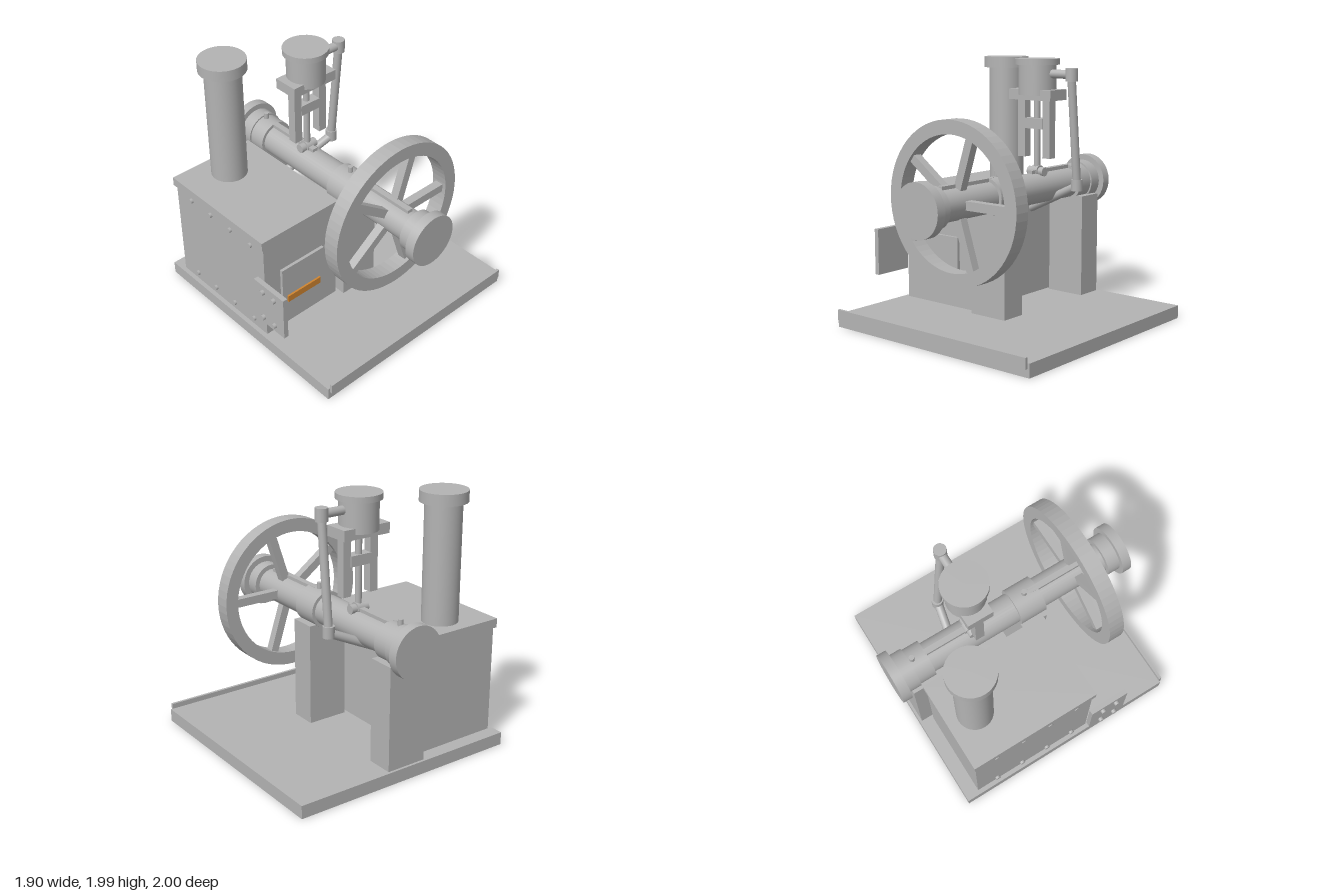
import * as THREE from 'three';

export function createModel() {
  const model = new THREE.Group();
  model.name = 'stationaryEngine';
  const iron = new THREE.MeshStandardMaterial({ color: 0xb3b3b3 });
  iron.name = 'iron grey';
  const ember = new THREE.MeshStandardMaterial({ color: 0xd08530 });
  ember.name = 'ember orange';

  const CX = 0.026; // engine centre line
  const EZ = -0.32; // steam cylinder depth

  const add = (name, geo, mat = iron, parent = model) => {
    const m = new THREE.Mesh(geo, mat);
    m.name = name;
    parent.add(m);
    return m;
  };
  // Box given by its min and max on each axis
  const box = (name, x0, x1, y0, y1, z0, z1, mat) =>
    add(name, new THREE.BoxGeometry(x1 - x0, y1 - y0, z1 - z0), mat)
      .position.set((x0 + x1) / 2, (y0 + y1) / 2, (z0 + z1) / 2);
  // Cylinder between two points
  const rod = (name, a, b, r, sides = 32) => {
    const p = new THREE.Vector3(...a), q = new THREE.Vector3(...b);
    const d = q.clone().sub(p);
    const m = add(name, new THREE.CylinderGeometry(r, r, d.length(), sides));
    m.position.copy(p).add(q).multiplyScalar(0.5);
    m.quaternion.setFromUnitVectors(new THREE.Vector3(0, 1, 0), d.normalize());
    return m;
  };

  // Base and front rail
  box('basePlate', -0.89, 0.945, 0, 0.1, -0.92, 0.917);
  box('frontRail', -0.872, 0.927, 0.06, 0.14, 0.915, 0.937);

  // Firebox with lid, door and glowing grate
  box('firebox', -0.855, -0.165, 0.1, 0.93, -0.81, 0.205);
  box('fireboxLid', -0.875, -0.15, 0.93, 1.0, -0.825, 0.218);
  box('fireDoor', -0.71, -0.305, 0.32, 0.65, 0.2, 0.229);
  box('grateGlow', -0.67, -0.352, 0.335, 0.39, 0.229, 0.244, ember);
  for (const y of [0.165, 0.882])
    for (const z of [-0.63, -0.4, -0.17, 0.06])
      rod('fireboxRivet', [-0.85, y, z], [-0.874, y, z], 0.02, 12);

  // Open side door with rivets
  box('sideDoor', -0.928, -0.89, 0.32, 0.68, 0.175, 0.495);
  for (const y of [0.38, 0.62])
    for (const z of [0.275, 0.395])
      rod('sideDoorRivet', [-0.925, y, z], [-0.953, y, z], 0.021, 12);

  // Smokestack
  rod('smokestack', [-0.512, 1, -0.6], [-0.512, 1.9, -0.6], 0.138);
  rod('smokestackCap', [-0.512, 1.9, -0.6], [-0.512, 1.985, -0.6], 0.178);

  // Pillars, bearings and oil caps
  for (const [z0, z1, oil] of [[0.06, 0.265, 0.16], [-0.9, -0.69, -0.8]]) {
    box('pillar', CX - 0.16, CX + 0.162, 0.1, 0.9, z0, z1);
    rod('bearing', [CX, 1, oil > 0 ? 0.055 : -0.83], [CX, 1, oil > 0 ? 0.272 : -0.69], 0.144);
    rod('oilCap', [CX, 1.1, oil], [CX, 1.19, oil], 0.02, 12);
  }

  // Main shaft, keys and stepped ends
  rod('mainShaft', [CX, 1, -0.95], [CX, 1, 0.95], 0.119);
  box('frontKey', CX - 0.023, CX + 0.023, 1.08, 1.143, 0.2, 0.77);
  box('rearKey', CX - 0.023, CX + 0.023, 1.08, 1.143, -0.7, -0.23);
  for (const s of [-1, 1]) {
    rod('shaftCollar', [CX, 1, s * 0.825], [CX, 1, s * 0.93], 0.156);
    rod('endFlange', [CX, 1, s * 0.925], [CX, 1, s], 0.2, 48);
  }

  // Flywheel: rim with hole and five spokes
  const wheel = new THREE.Group();
  wheel.name = 'flywheel';
  wheel.position.set(CX, 1, 0.597);
  model.add(wheel);
  const ring = new THREE.Shape().absarc(0, 0, 0.598, 0, Math.PI * 2, false);
  ring.holes.push(new THREE.Path().absarc(0, 0, 0.495, 0, Math.PI * 2, true));
  const rim = new THREE.ExtrudeGeometry(ring, { depth: 0.124, bevelEnabled: false, curveSegments: 32 });
  rim.translate(0, 0, -0.062);
  add('rim', rim, iron, wheel);
  for (let i = 0; i < 5; i++) {
    const spoke = new THREE.BoxGeometry(0.42, 0.065, 0.065);
    spoke.translate(0.3, 0, 0);
    add('spoke', spoke, iron, wheel).rotation.z = (i * Math.PI * 2) / 5;
  }

  // Steam cylinder on its cross beam and guides
  rod('steamCylinder', [CX, 1.718, EZ], [CX, 1.95, EZ], 0.145);
  rod('cylinderCap', [CX, 1.945, EZ], [CX, 1.99, EZ], 0.17);
  box('crossBeam', CX - 0.198, CX + 0.2, 1.68, 1.76, -0.42, -0.22);
  for (const s of [-1, 1]) {
    const x = CX + s * 0.119;
    box('guide', x - 0.034, x + 0.034, 1.24, 1.7, -0.345, -0.275);
  }
  rod('pistonRod', [CX, 1.5, EZ], [CX, 1.73, EZ], 0.025, 16);
  box('crosshead', CX - 0.09, CX + 0.09, 1.46, 1.54, -0.355, -0.27);
  rod('connectingRod', [CX, 1.12, EZ], [CX, 1.48, EZ], 0.025, 16);
  rod('crankPin', [CX - 0.075, 1.13, EZ], [CX + 0.075, 1.13, EZ], 0.035, 16);
  rod('crankEnd', [CX - 0.03, 1.13, EZ], [CX + 0.03, 1.13, EZ], 0.047, 16);

  // Side linkage from cylinder down to the firebox
  rod('steamArm', [0.15, 1.878, EZ], [0.35, 1.878, EZ], 0.033, 16);
  rod('upperJoint', [0.347, 1.828, EZ], [0.347, 1.925, EZ], 0.047, 16);
  rod('linkRod', [0.347, 1.85, EZ], [0.347, 1.04, -0.4], 0.032, 16);
  rod('lowerJoint', [0.347, 1.0, -0.4], [0.347, 1.087, -0.4], 0.044, 16);
  rod('feedArm', [0.34, 1.03, -0.4], [-0.17, 0.8, -0.497], 0.033, 16);

  return model;
}
